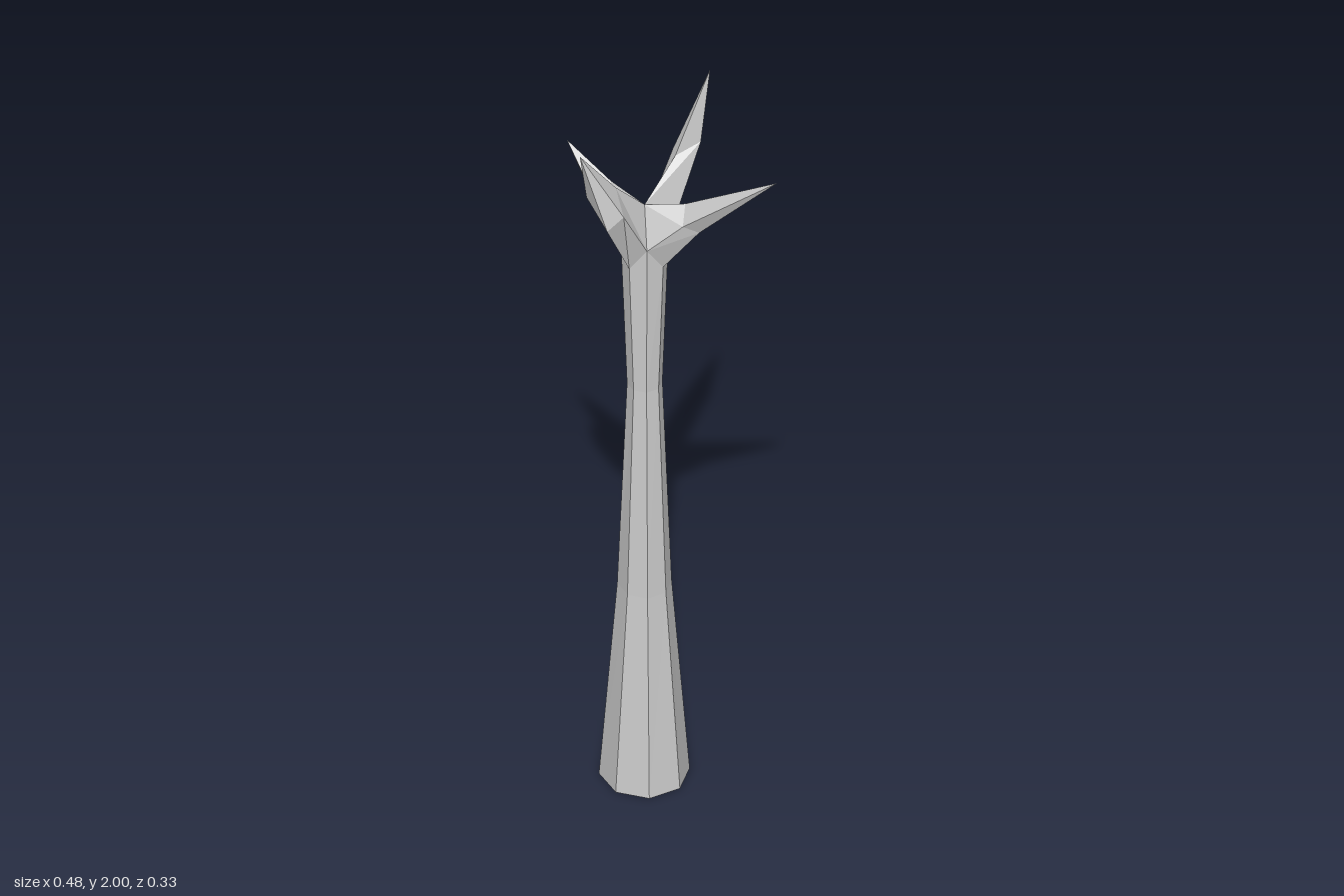
import * as THREE from 'three';

const material = new THREE.MeshStandardMaterial({ color: 0xcccccc, flatShading: true });

// Skins rings of points (counter-clockwise from above, ordered bottom to top)
function loft(name, rings, capBottom = false) {
  const pos = [];
  const tri = (...pts) => pts.forEach((p) => pos.push(...p));
  for (let r = 0; r < rings.length - 1; r++) {
    const lo = rings[r], hi = rings[r + 1], n = lo.length;
    for (let i = 0; i < n; i++) {
      const j = (i + 1) % n;
      tri(lo[i], lo[j], hi[j % hi.length]);
      if (hi.length > 1) tri(lo[i], hi[j], hi[i]);
    }
  }
  if (capBottom) {
    const b = rings[0];
    for (let i = 1; i < b.length - 1; i++) tri(b[0], b[i + 1], b[i]);
  }
  const geometry = new THREE.BufferGeometry();
  geometry.setAttribute('position', new THREE.Float32BufferAttribute(pos, 3));
  geometry.computeVertexNormals();
  const mesh = new THREE.Mesh(geometry, material);
  mesh.name = name;
  return mesh;
}

const CX = -0.065;

// Eight-sided trunk ring; crown raises the four axis corners into the forks
function octagon([y, rx, rz, cz], crown = 0) {
  return Array.from({ length: 8 }, (_, i) => {
    const a = (i * Math.PI) / 4;
    return [CX + rx * Math.cos(a), y + (i % 2 ? 0 : crown), cz - rz * Math.sin(a)];
  });
}

export function createModel() {
  const group = new THREE.Group();
  group.name = 'bareTree';

  // Trunk, flared at the foot, slightly swollen below the fork
  const top = octagon([1.51, 0.058, 0.055, -0.03], 0.06);
  const rings = [
    [0, 0.11, 0.118, -0.037],
    [0.56, 0.066, 0.075, -0.034],
    [1.15, 0.043, 0.045, -0.027],
  ].map((r) => octagon(r));
  group.add(loft('trunk', [...rings, top], true));

  // Branches: middle ring is [inner, x side, outer, z side], then the tip.
  // diag, ax, az are the trunk corners at the branch's root.
  const crotch = [CX, 1.67, -0.03];
  const branches = [
    {
      name: 'frontLeftBranch', diag: 7, ax: 0, az: 6,
      mid: [[0.03, 1.69, 0.005], [0.064, 1.67, 0.014], [0.06, 1.63, 0.045], [0.02, 1.65, 0.045]],
      tip: [0.237, 1.845, 0.162],
    },
    {
      name: 'backLeftBranch', diag: 1, ax: 0, az: 2,
      mid: [[0.015, 1.77, -0.085], [0.078, 1.8, -0.095], [0.06, 1.76, -0.137], [0.012, 1.77, -0.115]],
      tip: [0.102, 2.0, -0.11],
    },
    {
      name: 'frontRightBranch', diag: 5, ax: 4, az: 6,
      mid: [[-0.14, 1.76, 0.02], [-0.213, 1.75, 0.04], [-0.168, 1.68, 0.09], [-0.125, 1.7, 0.062]],
      tip: [-0.232, 1.89, 0.067],
    },
    {
      name: 'backRightBranch', diag: 3, ax: 4, az: 2,
      mid: [[-0.14, 1.7, -0.095], [-0.185, 1.67, -0.085], [-0.18, 1.63, -0.128], [-0.155, 1.67, -0.14]],
      tip: [-0.24, 1.78, -0.165],
    },
  ];
  for (const { name, diag, ax, az, mid, tip } of branches) {
    const loops = [[crotch, top[ax], top[diag], top[az]], mid];
    // Two of the four diagonals run the other way round
    if (diag === 7 || diag === 3) loops.forEach((l) => l.reverse());
    group.add(loft(name, [...loops, [tip]]));
  }
  return group;
}
